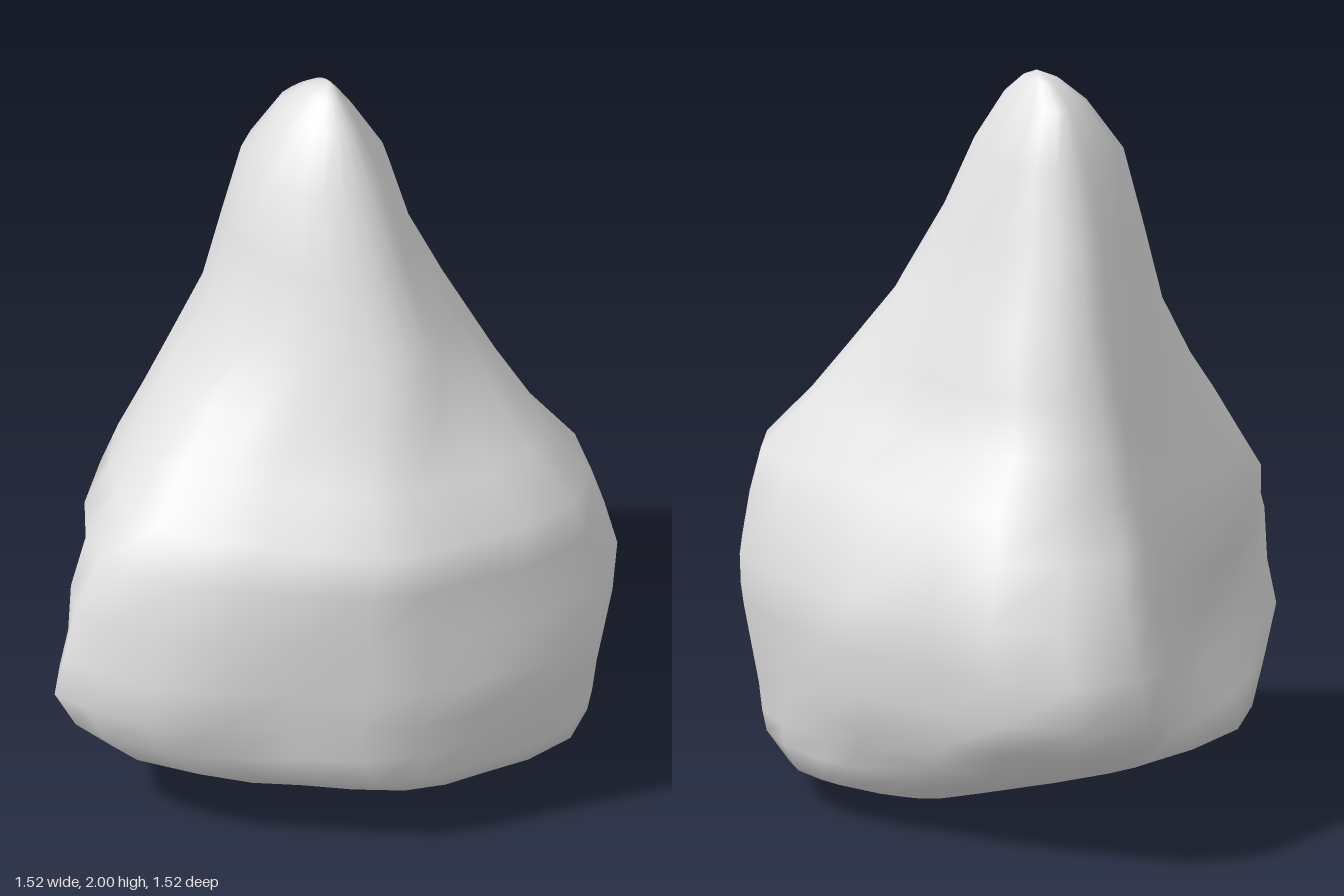
import * as THREE from 'three';
import { mergeVertices } from 'three/addons/utils/BufferGeometryUtils.js';

const { smoothstep, lerp } = THREE.MathUtils;

// Plan of the widest section, as [x, z], from the left lobe around the front
const plan = [
  [-0.76, 0], [-0.73, 0.1], [-0.64, 0.27], [-0.5, 0.39], [-0.34, 0.48], [-0.2, 0.6],
  [-0.06, 0.67], [0.1, 0.71], [0.3, 0.755], [0.5, 0.69], [0.63, 0.54], [0.69, 0.35],
  [0.75, 0.13], [0.755, 0], [0.7, -0.28], [0.68, -0.48], [0.59, -0.68], [0.42, -0.76],
  [0.27, -0.69], [0.16, -0.58], [0, -0.48], [-0.16, -0.37], [-0.32, -0.3], [-0.5, -0.22], [-0.67, -0.11],
];

// Rounder outlines, as radii every 45 degrees from -x around the front
const underside = [1, 0.8, 0.88, 1.1, 1, 1.06, 0.9, 0.88];
const shoulder = [1, 0.82, 0.93, 1.19, 1, 1.16, 0.82, 0.88];
const peak = [1, 0.98, 1, 0.93, 1, 1.22, 1, 1.03];

// Height and extents of each section: y, xMin, xMax, zMin, zMax
const levels = [
  [0, 0.33, 0.33, 0.27, 0.27],
  [0.04, 0.04, 0.47, 0.03, 0.36],
  [0.1, -0.18, 0.65, -0.15, 0.51],
  [0.16, -0.46, 0.66, -0.37, 0.65],
  [0.22, -0.62, 0.69, -0.55, 0.68],
  [0.3, -0.71, 0.72, -0.67, 0.71],
  [0.4, -0.76, 0.755, -0.76, 0.74],
  [0.52, -0.745, 0.76, -0.73, 0.76],
  [0.66, -0.715, 0.76, -0.68, 0.73],
  [0.82, -0.655, 0.68, -0.59, 0.715],
  [0.93, -0.56, 0.63, -0.53, 0.695],
  [1.06, -0.46, 0.53, -0.475, 0.59],
  [1.2, -0.34, 0.475, -0.43, 0.5],
  [1.37, -0.21, 0.415, -0.37, 0.425],
  [1.58, -0.155, 0.32, -0.3, 0.31],
  [1.78, -0.1, 0.275, -0.245, 0.2],
  [1.92, 0.01, 0.19, -0.165, 0.1],
  [1.975, 0.07, 0.15, -0.09, 0.03],
  [2, 0.125, 0.125, -0.03, -0.03],
];

// Radius of a rounder outline at a given turn, counted in eighths
function radiusAt(radii, turn) {
  const k = Math.floor(turn);
  return lerp(radii[k % 8], radii[(k + 1) % 8], smoothstep(turn - k, 0, 1));
}

// Section outline at height y: underside, lobed plan, shoulder, then peak
function outlineAt(y) {
  return plan.map(([x, z]) => {
    const p = new THREE.Vector2(x, z).divideScalar(0.76);
    const dir = p.clone().normalize();
    const turn = (Math.PI - Math.atan2(z, x)) / (Math.PI / 4);
    const blend = (radii, weight) => p.lerp(dir.clone().multiplyScalar(radiusAt(radii, turn)), weight);
    blend(underside, 1 - smoothstep(y, 0.18, 0.4));
    blend(shoulder, smoothstep(y, 0.45, 0.95));
    blend(peak, smoothstep(y, 1.05, 1.45));
    return p;
  });
}

// Loft through the sections, each outline fitted to its extents
function rockGeometry() {
  const n = plan.length;
  const positions = [], indices = [];
  levels.forEach(([y, x0, x1, z0, z1], i) => {
    const outline = outlineAt(y);
    const { min, max } = new THREE.Box2().setFromPoints(outline);
    for (const p of outline) {
      positions.push(
        lerp(x0, x1, (p.x - min.x) / (max.x - min.x)), y,
        lerp(z0, z1, (p.y - min.y) / (max.y - min.y)));
    }
    if (i === 0) return;
    for (let j = 0; j < n; j++) {
      const a = (i - 1) * n + j, b = (i - 1) * n + (j + 1) % n;
      if (i > 1) indices.push(a, b, b + n);
      if (i < levels.length - 1) indices.push(a, b + n, a + n);
    }
  });
  const geometry = new THREE.BufferGeometry();
  geometry.setAttribute('position', new THREE.Float32BufferAttribute(positions, 3));
  geometry.setIndex(indices);
  const welded = mergeVertices(geometry, 1e-5);
  welded.computeVertexNormals();
  return welded;
}

export function createModel() {
  const stone = new THREE.MeshStandardMaterial({ color: 0xe2e2e2 });
  stone.name = 'pale stone';
  const rock = new THREE.Mesh(rockGeometry(), stone);
  rock.name = 'rock';
  const model = new THREE.Group();
  model.name = 'pointedRock';
  model.add(rock);
  return model;
}
